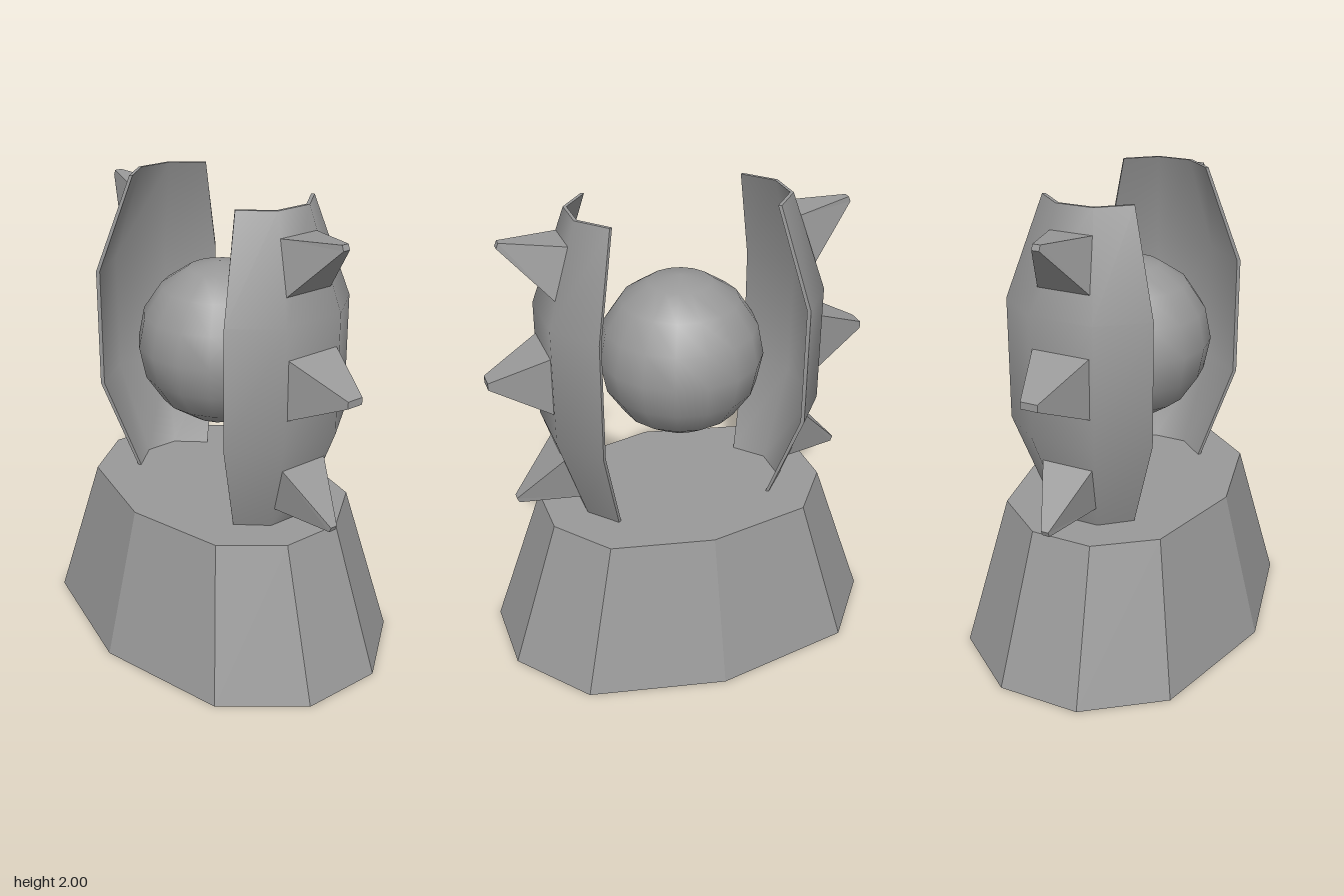
import * as THREE from 'three';
import { toCreasedNormals } from 'three/addons/utils/BufferGeometryUtils.js';

const grey = new THREE.MeshStandardMaterial({ color: 0x999999 });
const MID = 1.3275; // height of the sphere and of the panels' middle

// Joins equal-sized rings of points into a closed solid; rings run
// counter-clockwise as seen from the last ring's end.
function loft(rings, crease) {
  const n = rings[0].length, out = [];
  const quad = (a, b, c, d) => out.push(...a, ...b, ...c, ...a, ...c, ...d);
  for (let k = 0; k < rings.length - 1; k++) {
    const p = rings[k], q = rings[k + 1];
    for (let i = 0; i < n; i++) {
      const j = (i + 1) % n;
      quad(p[i], p[j], q[j], q[i]);
    }
  }
  const first = rings[0], last = rings[rings.length - 1];
  for (let i = 0; i < n / 2 - 1; i++) {
    quad(last[i], last[i + 1], last[n - 2 - i], last[n - 1 - i]);
    quad(first[n - 1 - i], first[n - 2 - i], first[i + 1], first[i]);
  }
  const geo = new THREE.BufferGeometry();
  geo.setAttribute('position', new THREE.Float32BufferAttribute(out, 3));
  geo.computeVertexNormals();
  return crease ? toCreasedNormals(geo, crease) : geo;
}

function part(name, geo, parent) {
  const mesh = new THREE.Mesh(geo, grey);
  mesh.name = name;
  parent.add(mesh);
  return mesh;
}

// Thin three-sided curved section of a panel, outer line then inner line
function panelRing(y, ex, ez, mx, mz, ix, iz, jx, jz) {
  return [
    [ex, y, ez], [mx, y, mz], [mx, y, -mz], [ex, y, -ez],
    [ix, y, -iz], [jx, y, -jz], [jx, y, jz], [ix, y, iz],
  ];
}

// Blunt four-sided spike: each end lists low x, y, half-width, then high x, y, half-width
function spike(ends, flip) {
  const rings = ends.map(([x0, y0, w0, x1, y1, w1]) => {
    const ring = [[x0, y0, w0], [x0, y0, -w0], [x1, y1, -w1], [x1, y1, w1]];
    if (!flip) return ring;
    return ring.map(([x, y, z]) => [x, 2 * MID - y, z]).reverse();
  });
  return loft(rings);
}

export function createModel() {
  const model = new THREE.Group();
  model.name = 'spikedOrbPedestal';

  // Ten-sided tapering base
  const foot = [
    [0.837, 0.17], [0.837, -0.19], [0.592, -0.505], [0.01, -0.625], [-0.597, -0.505],
    [-0.837, -0.19], [-0.837, 0.17], [-0.597, 0.482], [0.015, 0.622], [0.592, 0.482],
  ];
  part('base', loft([
    foot.map(([x, z]) => [x, 0, z]),
    foot.map(([x, z]) => [x * 0.74, 0.655, z * 0.74]),
  ]), model);

  // Floating sphere
  part('orb', new THREE.SphereGeometry(0.352, 16, 8), model).position.set(0.001, MID, -0.01);

  // Curved panels with three spikes each
  const narrow = [0.35, 0.2, 0.455, 0.08, 0.338, 0.192, 0.442, 0.074];
  const wide = [0.442, 0.325, 0.588, 0.14, 0.43, 0.314, 0.574, 0.134];
  const panelGeo = loft([
    panelRing(0.655, ...narrow), panelRing(1.065, ...wide),
    panelRing(1.585, ...wide), panelRing(2, ...narrow),
  ], 1.0);
  const middle = [[0.58, 1.195, 0.127, 0.58, 1.455, 0.127], [0.83, 1.312, 0.037, 0.83, 1.342, 0.037]];
  const tilted = [[0.545, 1.685, 0.117, 0.475, 1.902, 0.095], [0.747, 1.902, 0.016, 0.738, 1.924, 0.016]];

  for (const side of ['left', 'right']) {
    const group = new THREE.Group();
    group.name = side + 'Panel';
    group.position.z = -0.006;
    group.rotation.y = side === 'left' ? 0 : Math.PI;
    part('shell', panelGeo, group);
    part('upperSpike', spike(tilted), group);
    part('middleSpike', spike(middle), group);
    part('lowerSpike', spike(tilted, true), group);
    model.add(group);
  }
  return model;
}
